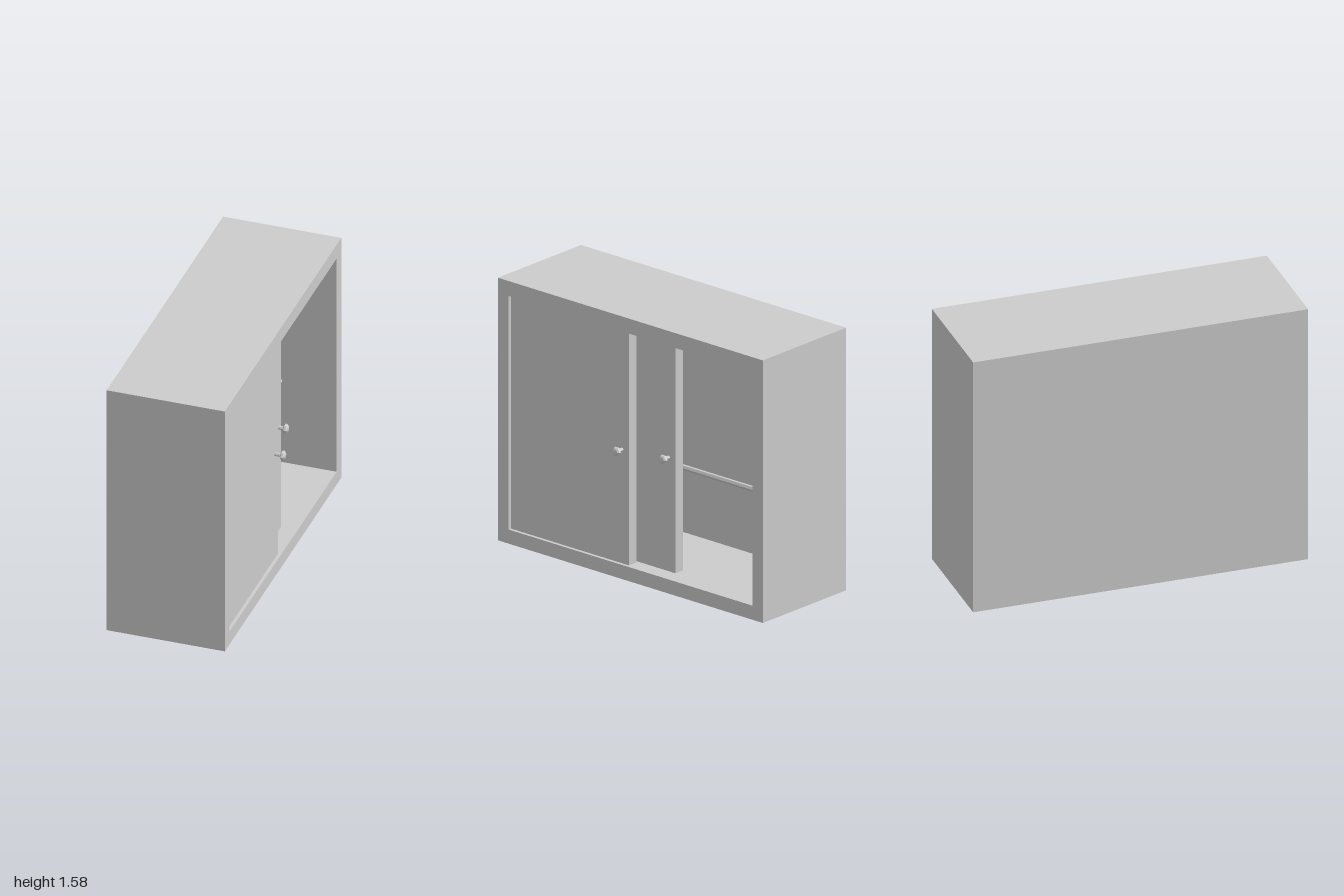
import * as THREE from 'three';

const material = new THREE.MeshStandardMaterial({ color: 0xcccccc, flatShading: true });

// cabinet extents; the open side faces +x
const BACK = -0.375, FRONT = 0.33, HEIGHT = 1.58, HALF = 1;
const BOARD = 0.08;
const OPEN = { bottom: 0.085, top: 1.49, half: 0.92 };
const openHeight = OPEN.top - OPEN.bottom;
const openMiddle = (OPEN.top + OPEN.bottom) / 2;

function addMesh(parent, name, geometry, x = 0, y = 0, z = 0) {
  const mesh = new THREE.Mesh(geometry, material);
  mesh.name = name;
  mesh.position.set(x, y, z);
  parent.add(mesh);
  return mesh;
}

function rectangle(target, x0, y0, x1, y1) {
  target.moveTo(x0, y0).lineTo(x1, y0).lineTo(x1, y1).lineTo(x0, y1).closePath();
  return target;
}

// sides, top and bottom as one hollow frame swept along x
function frameGeometry() {
  const shape = rectangle(new THREE.Shape(), -HALF, 0, HALF, HEIGHT);
  shape.holes.push(rectangle(new THREE.Path(), -OPEN.half, OPEN.bottom, OPEN.half, OPEN.top));
  return new THREE.ExtrudeGeometry(shape, { depth: FRONT - BACK, bevelEnabled: false })
    .rotateY(Math.PI / 2);
}

// six-sided stem with a domed head, pointing along +x
function knobGeometry() {
  const profile = [
    [0, 0], [0.011, 0], [0.011, 0.036], [0.022, 0.036], [0.029, 0.042],
    [0.027, 0.053], [0.018, 0.061], [0, 0.065],
  ].map(([r, h]) => new THREE.Vector2(r, h));
  return new THREE.LatheGeometry(profile, 6).rotateZ(-Math.PI / 2);
}

// sliding door: front face at x, spanning zMin to zMax
function createDoor(name, x, zMin, zMax, knobZ) {
  const thickness = 0.065;
  const door = new THREE.Group();
  door.name = name;
  addMesh(door, name + 'Panel', new THREE.BoxGeometry(thickness, openHeight, zMax - zMin),
    x - thickness / 2, openMiddle, (zMin + zMax) / 2);
  addMesh(door, name + 'Knob', knobGeometry(), x, 0.77, knobZ);
  return door;
}

export function createModel() {
  const wardrobe = new THREE.Group();
  wardrobe.name = 'wardrobe';

  // carcass
  addMesh(wardrobe, 'frame', frameGeometry(), BACK);
  addMesh(wardrobe, 'backPanel', new THREE.BoxGeometry(BOARD, openHeight, OPEN.half * 2),
    BACK + BOARD / 2, openMiddle, 0);

  // two sliding doors on parallel tracks
  wardrobe.add(createDoor('outerDoor', 0.31, 0.03, OPEN.half, 0.08));
  wardrobe.add(createDoor('innerDoor', 0.23, -0.25, 0.64, -0.2));

  // hanging rails between the side walls
  for (const [name, y] of [['upperRail', 1.353], ['lowerRail', 0.618]]) {
    const rail = new THREE.CylinderGeometry(0.016, 0.016, OPEN.half * 2, 6)
      .rotateY(Math.PI / 2).rotateX(Math.PI / 2);
    addMesh(wardrobe, name, rail, -0.01, y, 0);
  }
  return wardrobe;
}
